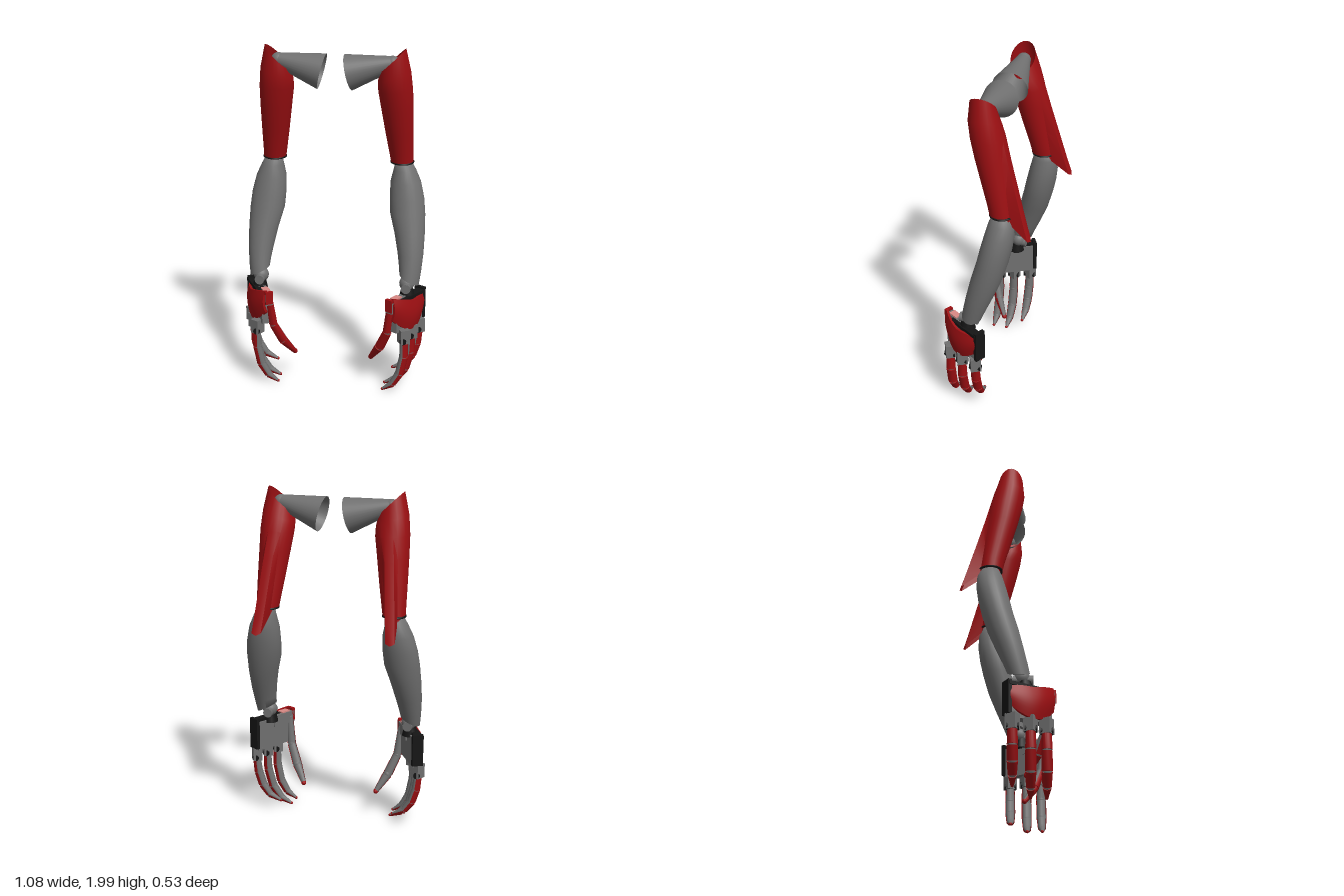
import * as THREE from 'three';
import { toCreasedNormals } from 'three/addons/utils/BufferGeometryUtils.js';

const V = (x, y, z) => new THREE.Vector3(x, y, z);
const paint = (name, color, side = THREE.FrontSide) => {
  const m = new THREE.MeshStandardMaterial({ color, side });
  m.name = name;
  return m;
};
const N = 24; // points around each arm section

// Skin over rings of points, listed from top to bottom
function loft(rings) {
  const n = rings[0].length, index = [];
  for (let i = 0; i < rings.length - 1; i++) {
    for (let j = 0; j < n; j++) {
      const k = (j + 1) % n, a = i * n + j, b = a + n, c = (i + 1) * n + k, d = i * n + k;
      index.push(a, b, d, b, c, d);
    }
  }
  const g = new THREE.BufferGeometry().setFromPoints(rings.flat());
  g.setIndex(index);
  g.computeVertexNormals();
  return g;
}

// Elliptical ring; tilt raises y along +x
function ring(x, y, z, rx, rz, tilt = 0) {
  return Array.from({ length: N }, (_, j) => {
    const a = (j / N) * Math.PI * 2, dx = Math.sin(a) * rx;
    return V(x + dx, y + dx * tilt, z + Math.cos(a) * rz);
  });
}

export function createModel() {
  const red = paint('red shell', 0x9c0f12, THREE.DoubleSide);
  const grey = paint('grey body', 0x707070, THREE.DoubleSide);
  const black = paint('black joint', 0x151515);
  const pink = paint('pink pad', 0xd98a85);

  const left = new THREE.Group();
  left.name = 'leftArm';
  const add = (parent, name, geo, mat, x = 0, y = 0, z = 0) => {
    const m = new THREE.Mesh(geo, mat);
    m.name = name;
    m.position.set(x, y, z);
    parent.add(m);
    return m;
  };
  const align = (mesh, a, b, out) => {
    const y = b.clone().sub(a).normalize();
    const x = y.clone().cross(out).normalize();
    mesh.quaternion.setFromRotationMatrix(new THREE.Matrix4().makeBasis(x, y, x.clone().cross(y)));
    mesh.position.copy(a).add(b).multiplyScalar(0.5);
  };

  // Shoulder cone, open at its wide end, with a rounded tip
  const coneA = V(0.075, 1.855, 0.02), coneB = V(0.32, 1.915, 0.025);
  align(add(left, 'shoulderCone', new THREE.CylinderGeometry(0.04, 0.102, coneA.distanceTo(coneB), 32, 1, true), grey),
    coneA, coneB, V(0, 0, 1));
  add(left, 'shoulderTip', new THREE.SphereGeometry(0.041, 20, 12), grey, coneB.x, coneB.y, coneB.z);

  // Upper arm shell: slanted mouth at the top, elbow fin growing down the back
  const upper = [
    [0.322, 1.93, 0.03, 0.072, 0.07, 0.95, 0, 0],
    [0.33, 1.84, 0.018, 0.092, 0.09, 0.35, 0, 0],
    [0.336, 1.76, 0.0, 0.097, 0.095, 0.05, 0, 0],
    [0.345, 1.65, -0.02, 0.09, 0.088, 0, 0.022, 0.02],
    [0.357, 1.5, -0.052, 0.079, 0.078, 0, 0.055, 0.06],
    [0.367, 1.38, -0.077, 0.069, 0.069, 0, 0.085, 0.1],
    [0.372, 1.32, -0.087, 0.064, 0.066, 0, 0.105, 0.125],
  ].map(([x, y, z, rx, rz, tilt, fin, drop]) => {
    const r = ring(x, y, z, rx, rz, tilt);
    for (const j of [11, 12, 13]) {
      const f = j === 12 ? 1 : 0.92;
      r[j].z -= fin * f;
      r[j].y -= drop * f;
      if (fin) r[j].x = x + fin * 0.15 + (12 - j) * 0.027;
    }
    for (const j of [10, 14]) r[j].y -= drop * 0.25;
    return r;
  });
  add(left, 'upperArmShell', toCreasedNormals(loft(upper), 0.6), red);
  const hem = ring(0.372, 1.325, -0.087, 0.062, 0.062);
  add(left, 'elbowLip', new THREE.TubeGeometry(new THREE.CatmullRomCurve3(hem, true), 40, 0.007, 6, true), black);

  // Forearm, bowed outward and swinging forward to the wrist
  const forearm = [
    [0.375, 1.345, -0.09, 0.015, 0.015], [0.378, 1.33, -0.09, 0.045, 0.048],
    [0.387, 1.28, -0.09, 0.064, 0.07], [0.395, 1.21, -0.083, 0.088, 0.082],
    [0.405, 1.12, -0.066, 0.1, 0.087], [0.413, 1.03, -0.046, 0.102, 0.087],
    [0.43, 0.92, -0.015, 0.088, 0.086], [0.441, 0.81, 0.02, 0.075, 0.076],
    [0.443, 0.72, 0.05, 0.064, 0.066, -0.25], [0.441, 0.665, 0.067, 0.057, 0.06, -0.5],
    [0.441, 0.662, 0.067, 0.04, 0.042, -0.5], [0.441, 0.69, 0.066, 0.001, 0.001],
  ];
  add(left, 'forearm', toCreasedNormals(loft(forearm.map((r) => ring(...r))), 0.9), grey);

  // Wrist ball, pivot and dark link
  add(left, 'wristBall', new THREE.SphereGeometry(0.044, 20, 14), grey, 0.43, 0.645, 0.085);
  add(left, 'wristPivot', new THREE.CylinderGeometry(0.028, 0.028, 0.11, 16), grey, 0.43, 0.63, 0.09).rotation.x = Math.PI / 2;
  add(left, 'wristLink', new THREE.CylinderGeometry(0.035, 0.048, 0.06, 12), black, 0.435, 0.59, 0.1);

  // Hand frame: +x toward the thumb side, +z out of the palm
  const hand = new THREE.Group();
  hand.name = 'hand';
  hand.position.set(0.43, 0, 0.12);
  hand.rotation.y = -2 * Math.PI / 3;
  left.add(hand);

  const palm = new THREE.BoxGeometry(0.25, 0.18, 0.05);
  add(hand, 'palm', palm, grey, 0, 0.485, -0.005);
  add(hand, 'palmCuff', new THREE.BoxGeometry(0.16, 0.07, 0.045), grey, 0.075, 0.555, 0.005);
  add(hand, 'palmEdge', new THREE.BoxGeometry(0.022, 0.19, 0.065), black, -0.135, 0.505, -0.004);
  add(hand, 'palmTop', new THREE.BoxGeometry(0.22, 0.02, 0.05), black, -0.03, 0.58, -0.015);
  add(hand, 'thumbPad', new THREE.BoxGeometry(0.06, 0.008, 0.04), pink, 0.09, 0.596, 0.005);

  // Curved guard over the back of the hand, scooped along its lower edge
  const guard = new THREE.BoxGeometry(0.29, 1, 0.014, 16, 8, 1);
  const p = guard.attributes.position;
  for (let i = 0; i < p.count; i++) {
    const u = p.getX(i), t = p.getY(i) + 0.5;
    const bottom = 0.395 + 3.8 * u * u, top = 0.572 + Math.max(0, u) * 0.27;
    p.setXYZ(i, u, bottom + (top - bottom) * t,
      p.getZ(i) - 0.052 + 2 * u * u - 0.014 * Math.sin(Math.PI * t));
  }
  guard.computeVertexNormals();
  add(hand, 'handGuard', guard, red);
  add(hand, 'guardTab', new THREE.BoxGeometry(0.02, 0.075, 0.045), red, 0.152, 0.567, 0.005);

  // One finger bone: grey core with a red half shell on its outer side
  function bone(name, a, b, out, w0, w1, tip = false) {
    const len = a.distanceTo(b);
    const core = new THREE.CylinderGeometry(w1 * 0.9, w0 * 0.9, len, 10).scale(1, 1, 0.85);
    const shell = new THREE.CylinderGeometry(w1, w0, len * 0.96, 8, 1, false, -Math.PI / 2, Math.PI);
    align(add(left, name + 'Core', core, grey), a, b, out);
    align(add(left, name + 'Shell', toCreasedNormals(shell, 0.5), red), a, b, out);
    add(left, name + 'Joint', new THREE.SphereGeometry(w0 * 0.85, 10, 8), grey, a.x, a.y, a.z);
    if (tip) add(left, name + 'Tip', new THREE.SphereGeometry(w1, 10, 8), red, b.x, b.y, b.z);
  }
  function digit(name, pts, out, widths) {
    for (let i = 0; i < pts.length - 1; i++) {
      bone(name + (i + 1), pts[i], pts[i + 1], out, widths[i], widths[i + 1], i === pts.length - 2);
    }
  }

  // Three curled fingers on grey knuckles
  const fingers = [
    ['frontFinger', 0.212, [[0.43, 0.345], [0.43, 0.24], [0.408, 0.13], [0.368, 0.06], [0.312, 0.02]]],
    ['middleFinger', 0.127, [[0.465, 0.345], [0.46, 0.235], [0.43, 0.125], [0.38, 0.055], [0.315, 0.02]]],
    ['rearFinger', 0.032, [[0.5, 0.345], [0.488, 0.25], [0.462, 0.17], [0.42, 0.11], [0.35, 0.075]]],
  ];
  for (const [name, z, path] of fingers) {
    const [kx, ky] = path[0];
    add(left, name + 'Knuckle', new THREE.BoxGeometry(0.055, 0.085, 0.06), grey, kx, ky + 0.025, z).rotation.y = Math.PI / 6;
    add(left, name + 'Pin', new THREE.CylinderGeometry(0.02, 0.02, 0.066, 12), black, kx, ky, z).rotation.x = Math.PI / 2;
    digit(name, path.map(([x, y]) => V(x, y, z)), V(1, -0.35, 0), [0.026, 0.029, 0.029, 0.024, 0.009]);
  }

  // Thumb hanging from the front corner of the palm
  digit('thumb', [V(0.352, 0.55, 0.225), V(0.335, 0.385, 0.205), V(0.287, 0.27, 0.165), V(0.228, 0.172, 0.11)],
    V(0.25, 0, 1), [0.021, 0.026, 0.029, 0.015]);

  // Mirrored right arm, with triangles turned to face outward
  left.updateMatrixWorld(true);
  const right = new THREE.Group();
  right.name = 'rightArm';
  const flip = new THREE.Matrix4().makeScale(-1, 1, 1);
  left.traverse((m) => {
    if (!m.isMesh) return;
    const g = m.geometry.clone().applyMatrix4(flip.clone().multiply(m.matrixWorld));
    const idx = g.index ? Array.from(g.index.array) : Array.from({ length: g.attributes.position.count }, (_, i) => i);
    for (let i = 0; i < idx.length; i += 3) [idx[i], idx[i + 1]] = [idx[i + 1], idx[i]];
    g.setIndex(idx);
    add(right, m.name, g, m.material);
  });

  const model = new THREE.Group();
  model.name = 'armPair';
  model.add(left, right);
  return model;
}
